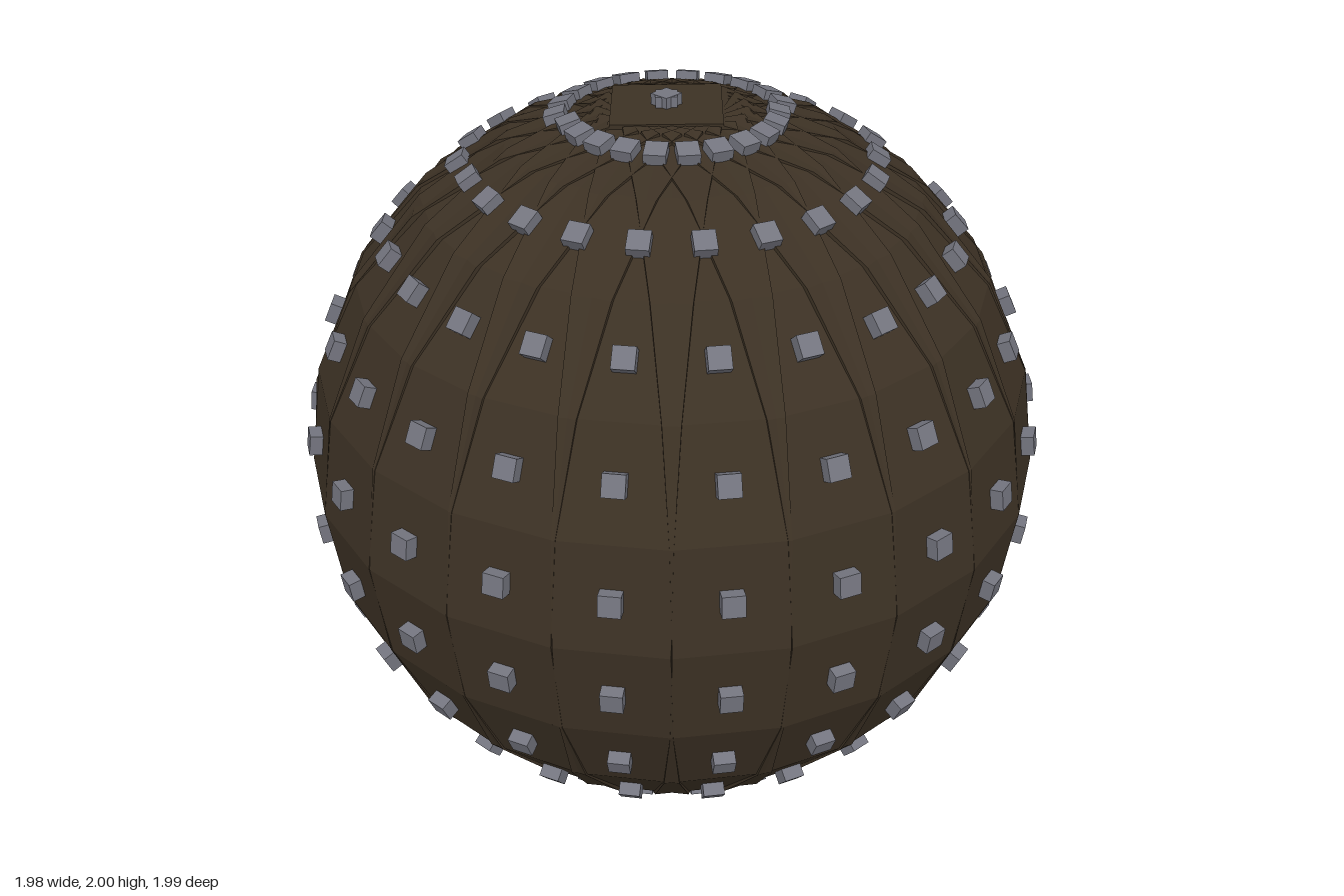
import * as THREE from 'three';
import { mergeGeometries } from 'three/addons/utils/BufferGeometryUtils.js';

const COUNT = 22;                      // tiles around each full meridian hoop
const STEP = (2 * Math.PI) / COUNT;
const FACE = 0.965;                    // centre to outer face of a plate
const TOP = 0.998;                     // centre to outer face of a stud
const PLATE = 2 * FACE * Math.tan(STEP / 2);
const STUD = 0.055;
const TILT = THREE.MathUtils.degToRad(0.8);  // slight roll of every hoop
const START = THREE.MathUtils.degToRad(-1.5);

// A square block whose outer face lies at the given radius, turned to a longitude and latitude
function block(size, depth, radius, lon, lat, spin = 0) {
  const g = new THREE.BoxGeometry(size, size, depth);
  g.rotateZ(spin);
  g.translate(0, 0, radius - depth / 2);
  g.rotateX(-lat);
  g.rotateY(lon);
  return g;
}

export function createModel() {
  const brown = new THREE.MeshStandardMaterial({ color: 0x3c3124 });
  brown.name = 'dark brown';
  const grey = new THREE.MeshStandardMaterial({ color: 0x74757f });
  grey.name = 'steel grey';

  const model = new THREE.Group();
  model.name = 'studdedBall';
  const addMesh = (name, parts, material) => {
    const mesh = new THREE.Mesh(mergeGeometries(parts), material);
    mesh.name = name;
    mesh.position.y = 1;
    model.add(mesh);
  };

  // Rows of overlapping plates, each with one stud in its middle
  for (let row = 0; row < 10; row++) {
    const plates = [], studs = [];
    for (let k = -4; k < COUNT - 4; k++) {
      // hoops roll up on one half of the ball and down on the other
      const roll = k <= 6 ? TILT : -TILT;
      const lat = (row - 4.5) * STEP + roll;
      const lon = START + k * STEP;
      plates.push(block(PLATE, 0.03, FACE, lon, lat));
      studs.push(block(STUD, 0.065, TOP, lon, lat));
    }
    addMesh(`plateRow${row + 1}`, plates, brown);
    addMesh(`studRow${row + 1}`, studs, grey);
  }

  // Cap plate and crossed studs at each pole
  for (const [name, side] of [['top', 1], ['bottom', -1]]) {
    const lon = START + 6 * STEP;
    const lat = side * Math.PI / 2 + TILT;
    addMesh(`${name}CapPlate`, [block(PLATE, 0.03, FACE + 0.006, lon, lat)], brown);
    addMesh(`${name}CapStud`, [
      block(STUD, 0.065, TOP, lon, lat),
      block(STUD, 0.065, TOP + 0.001, lon, lat, Math.PI / 4),
    ], grey);
  }

  return model;
}
